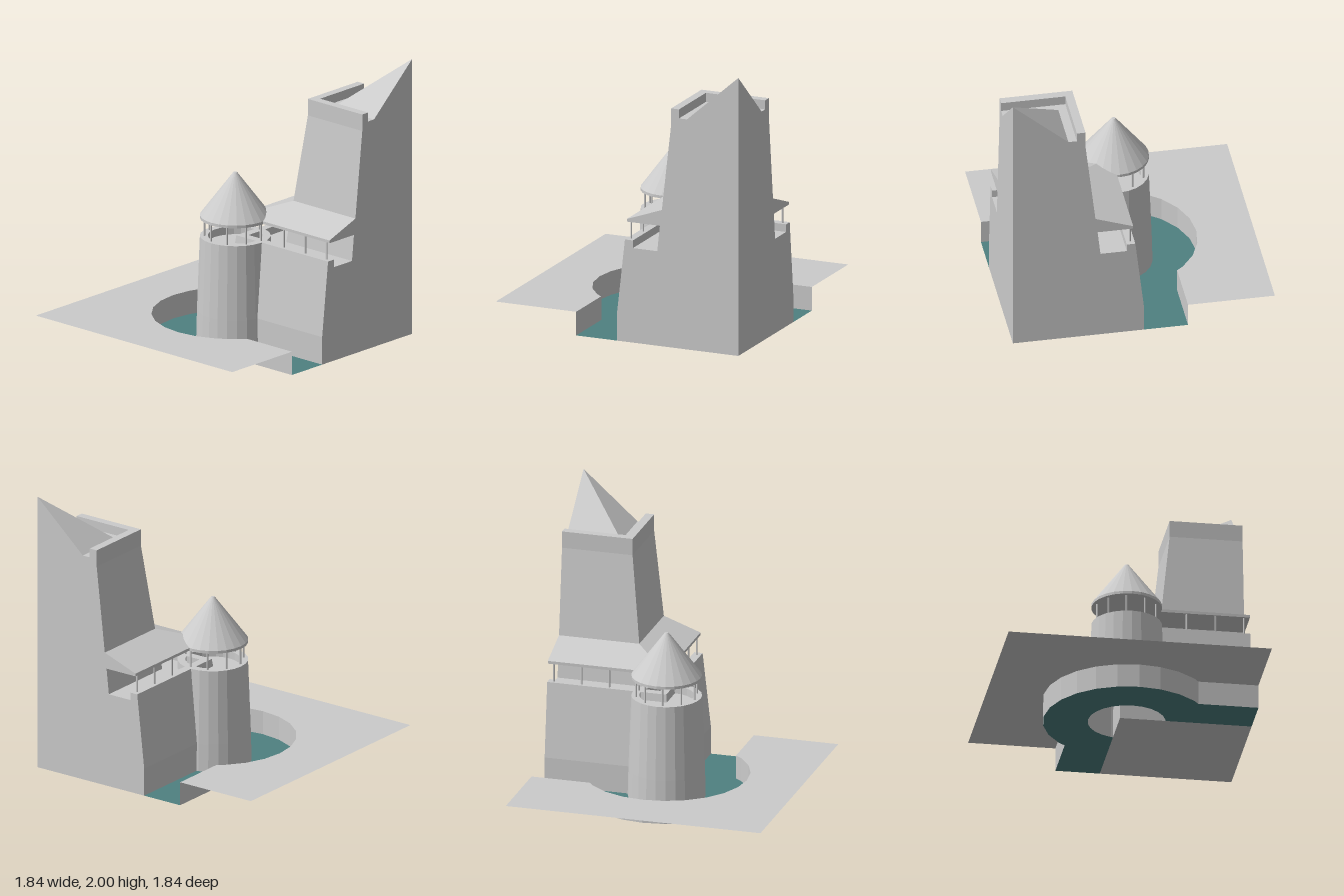
import * as THREE from 'three';

const E = 0.92;        // outer edge of the model
const C = 0.055;       // round tower centre in x and z
const GROUND = 0.17;
const SIDES = 24;

const stone = new THREE.MeshStandardMaterial({ color: 0xcccccc, flatShading: true, side: THREE.DoubleSide });
const waterMaterial = new THREE.MeshStandardMaterial({ color: 0x4f8080, flatShading: true, side: THREE.DoubleSide });

const v2 = ([x, y]) => new THREE.Vector2(x, y);

function add(parent, name, geometry, material = stone) {
  const mesh = new THREE.Mesh(geometry, material);
  mesh.name = name;
  parent.add(mesh);
  return mesh;
}

// Quads given as four corners each
function quadGeometry(quads) {
  const pos = [];
  for (const [a, b, c, d] of quads) pos.push(...a, ...b, ...c, ...a, ...c, ...d);
  const g = new THREE.BufferGeometry();
  g.setAttribute('position', new THREE.Float32BufferAttribute(pos, 3));
  g.computeVertexNormals();
  return g;
}

// Flat sheet from an outline of [x, z] points
function sheet(outline, y) {
  return new THREE.ShapeGeometry(new THREE.Shape(outline.map(v2))).rotateX(Math.PI / 2).translate(0, y, 0);
}

// Points on a circle about the round tower, angles in degrees
function arc(radius, from, to, step) {
  const pts = [];
  for (let a = from; step > 0 ? a <= to : a >= to; a += step) {
    const t = THREE.MathUtils.degToRad(a);
    pts.push([C + radius * Math.cos(t), C + radius * Math.sin(t)]);
  }
  return pts;
}

export function createModel() {
  const model = new THREE.Group();
  model.name = 'castleCorner';

  // Keep: one wall profile swept round the corner, closed on the two cut sides
  const profile = [
    [E, 0], [0, 0], [0, 0.2], [0.06, 0.735], [0.12, 0.735], [0.12, 0.68],
    [0.305, 0.68], [0.325, 0.865], [0.075, 0.865], [0.075, 0.885], [0.34, 0.98],
    [0.41, 1.6], [0.41, 1.72], [0.47, 1.72], [0.47, 1.655], [0.53, 1.655], [E, 2],
  ];
  const keep = new THREE.Group();
  keep.name = 'keep';
  model.add(keep);
  const rings = profile.map(([p, y]) => [[p, y, E], [p, y, p], [E, y, p]]);
  const quads = [];
  for (let i = 0; i < rings.length - 1; i++) {
    const [lo, hi] = [rings[i], rings[i + 1]];
    for (let k = 0; k < 2; k++) quads.push([lo[k], hi[k], hi[k + 1], lo[k + 1]]);
  }
  add(keep, 'keepWalls', quadGeometry(quads));
  const cut = new THREE.ShapeGeometry(new THREE.Shape(profile.map(v2)));
  add(keep, 'frontCutFace', cut.clone().translate(0, 0, E));
  add(keep, 'sideCutFace', cut.clone().rotateY(-Math.PI / 2).translate(E, 0, 0));

  // Round corner tower, hollow below its floor
  const tower = new THREE.Group();
  tower.name = 'cornerTower';
  tower.position.set(C, 0, C);
  model.add(tower);
  const towerProfile = [[0.27, 0], [0.265, 0.2], [0.245, 0.735], [0.19, 0.735], [0.19, 0.68], [0, 0.68]];
  add(tower, 'towerWall', new THREE.LatheGeometry(towerProfile.map(v2), SIDES));
  const roofProfile = [[0, 0.865], [0.245, 0.865], [0.245, 0.885], [0.013, 1.195], [0, 1.195]];
  add(tower, 'towerRoof', new THREE.LatheGeometry(roofProfile.map(v2), SIDES));

  // Posts under the tower roof and the gallery roofs
  const posts = new THREE.Group();
  posts.name = 'posts';
  model.add(posts);
  const postGeometry = new THREE.CylinderGeometry(0.007, 0.007, 0.13, 8);
  const addPost = (name, x, z) => add(posts, name, postGeometry).position.set(x, 0.8, z);
  for (const [x, z] of arc(0.214, 81, 369, 36)) addPost('towerPost', x, z);
  for (const d of [0.48, 0.68, 0.88]) {
    addPost('galleryPost', 0.09, d);
    addPost('galleryPost', d, 0.09);
  }

  // Moat bank: straight channels joined by an arc round the tower
  const bank = [[E, -0.31], [0.5, -0.31], ...arc(0.58, -45, -225, -15), [-0.31, 0.5], [-0.31, E]];
  add(model, 'ground', sheet([...bank, [-E, E], [-E, -E], [E, -E]], GROUND));
  const bankQuads = bank.slice(1).map(([x, z], i) => {
    const [px, pz] = bank[i];
    return [[px, 0, pz], [px, GROUND, pz], [x, GROUND, z], [x, 0, z]];
  });
  add(model, 'moatBank', quadGeometry(bankQuads));

  // Water between the bank, the keep and the tower
  const inner = arc(0.27, 105, 345, 15);
  add(model, 'moatWater', sheet([...bank, [0, E], [0, 0.319], ...inner, [0.319, 0], [E, 0]], 0), waterMaterial);

  return model;
}
